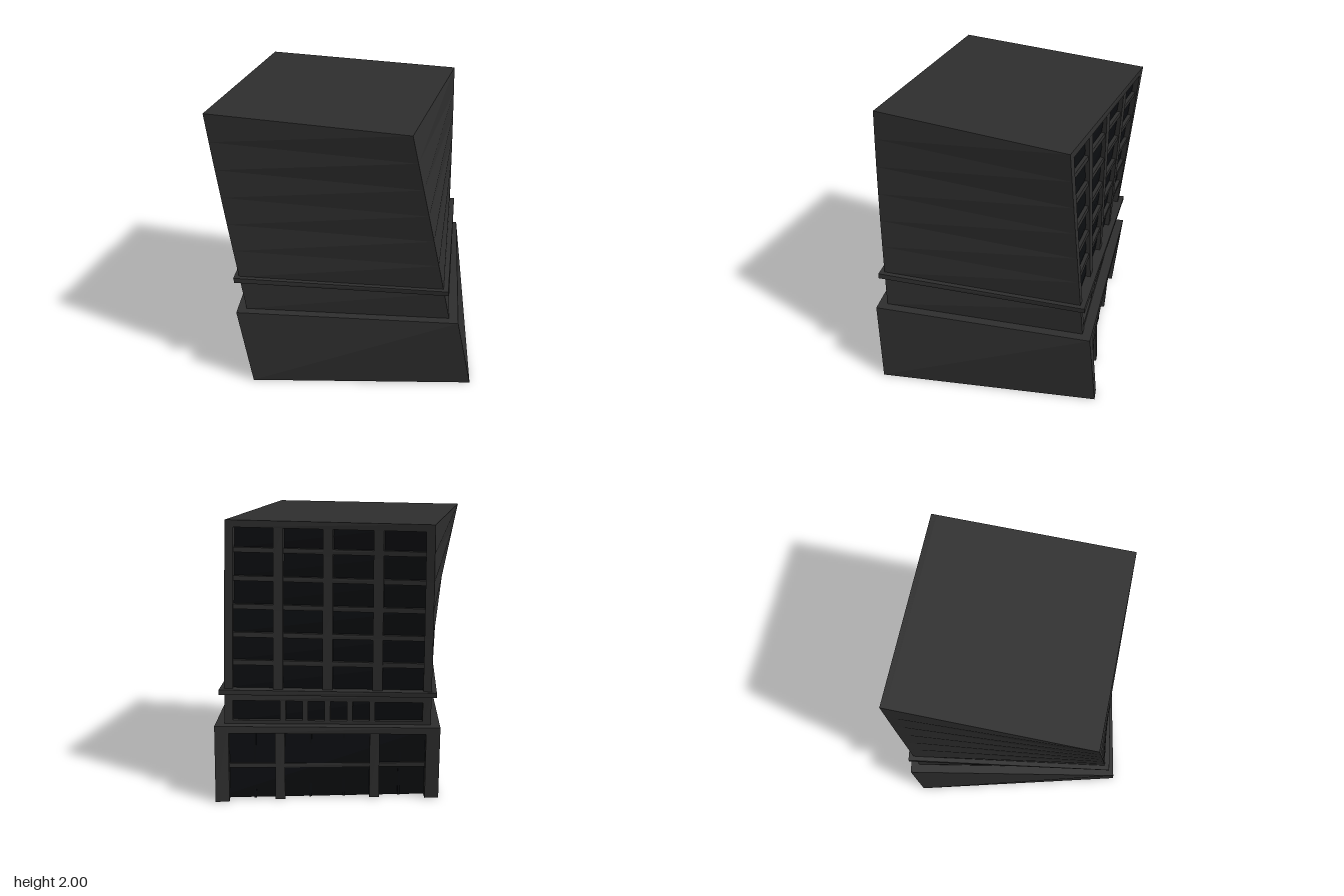
import * as THREE from 'three';

const wall = new THREE.MeshStandardMaterial({ color: 0x2e2e2e, side: THREE.DoubleSide });
const glass = new THREE.MeshStandardMaterial({ color: 0x0b0d10, side: THREE.DoubleSide });

// The tower turns about a vertical axis in its facade, 15 degrees over its full height.
const PIVOT = { x: 0.15, z: -0.76 };
const TWIST = THREE.MathUtils.degToRad(15) / 2;

function twist(geometry) {
  const p = geometry.attributes.position;
  for (let i = 0; i < p.count; i++) {
    const x = p.getX(i), y = p.getY(i), z = p.getZ(i);
    const c = Math.cos(y * TWIST), s = Math.sin(y * TWIST);
    p.setXYZ(i, PIVOT.x + x * c - z * s, y, PIVOT.z + x * s + z * c);
  }
  const flat = geometry.toNonIndexed();
  flat.computeVertexNormals();
  return flat;
}

// Twisted box from ranges; openFaces lists faces to leave out (3 = bottom, 5 = facade side).
function block(parent, name, [x0, x1], [y0, y1], [z0, z1], { segs = 1, mat = wall, openFaces = [] } = {}) {
  const g = new THREE.BoxGeometry(x1 - x0, y1 - y0, z1 - z0, 1, segs, 1);
  g.translate((x0 + x1) / 2, (y0 + y1) / 2, (z0 + z1) / 2);
  const index = Array.from(g.index.array);
  g.setIndex(g.groups
    .filter((_, i) => !openFaces.includes(i))
    .flatMap(({ start, count }) => index.slice(start, start + count)));
  g.clearGroups();
  const mesh = new THREE.Mesh(twist(g), mat);
  mesh.name = name;
  parent.add(mesh);
}

// One storey block: walls, recessed glass, corner pillars, posts and beams.
function section(name, o) {
  const group = new THREE.Group();
  group.name = name;
  const { half, y, back, segs, corner, recess } = o;
  const [y0, y1] = y;
  const inner = half - corner;
  block(group, name + 'Walls', [-half, half], y, [back, back + 2 * half], { segs, openFaces: [3, 5] });
  block(group, name + 'Glass', [-half + 0.005, half - 0.005], [y0 + 0.005, y1 - 0.005],
    [back + recess, back + recess + 0.01], { segs, mat: glass });
  for (const s of [-1, 1]) {
    const xs = [s * half, s * inner].sort((a, b) => a - b);
    block(group, 'cornerPillar', xs, y, [back, back + recess], { segs });
  }
  block(group, 'header', [-inner, inner], [y1 - o.header, y1], [back, back + recess]);
  for (const x of o.posts) {
    block(group, 'post', [x - o.postWidth / 2, x + o.postWidth / 2], [y0, y1 - o.header],
      [back + o.postInset, back + recess], { segs });
  }
  for (const [b0, b1] of o.beams) {
    block(group, 'beam', [-inner, inner], [b0, b1], [back + o.beamInset, back + recess]);
  }
  // slim window bars close to the glass
  for (const x of o.bars ?? []) {
    block(group, 'windowBar', [x - 0.008, x + 0.008], [y0 + 0.005, y1 - o.header],
      [back + recess - 0.012, back + recess], { mat: glass });
  }
  return group;
}

export function createModel() {
  const model = new THREE.Group();
  model.name = 'twistedBuilding';

  // ground floor, open underneath
  model.add(section('groundFloor', {
    half: 0.805, y: [0, 0.55], back: -0.02, segs: 1, corner: 0.1, recess: 0.07, header: 0.05,
    posts: [-0.34, 0.34], postWidth: 0.07, postInset: 0.03,
    beams: [[0.235, 0.265]], beamInset: 0.04, bars: [-0.52, -0.12, 0.12, 0.52],
  }));

  // mezzanine with a row of small windows
  model.add(section('mezzanine', {
    half: 0.74, y: [0.55, 0.77], back: 0.045, segs: 1, corner: 0.06, recess: 0.04, header: 0.05,
    posts: [-0.32, -0.16, 0, 0.16, 0.32], postWidth: 0.04, postInset: 0.005,
    beams: [[0.55, 0.575]], beamInset: 0.005,
  }));

  // projecting ledge
  block(model, 'ledge', [-0.775, 0.775], [0.77, 0.805], [0.01, 1.56]);

  // six upper floors, four windows wide
  model.add(section('upperFloors', {
    half: 0.74, y: [0.8, 2], back: 0.045, segs: 6, corner: 0.06, recess: 0.04, header: 0.05,
    posts: [-0.355, 0, 0.355], postWidth: 0.07, postInset: 0.003,
    beams: [1, 1.2, 1.4, 1.6, 1.8].map((y) => [y - 0.025, y + 0.01]), beamInset: 0.012,
  }));

  return model;
}
